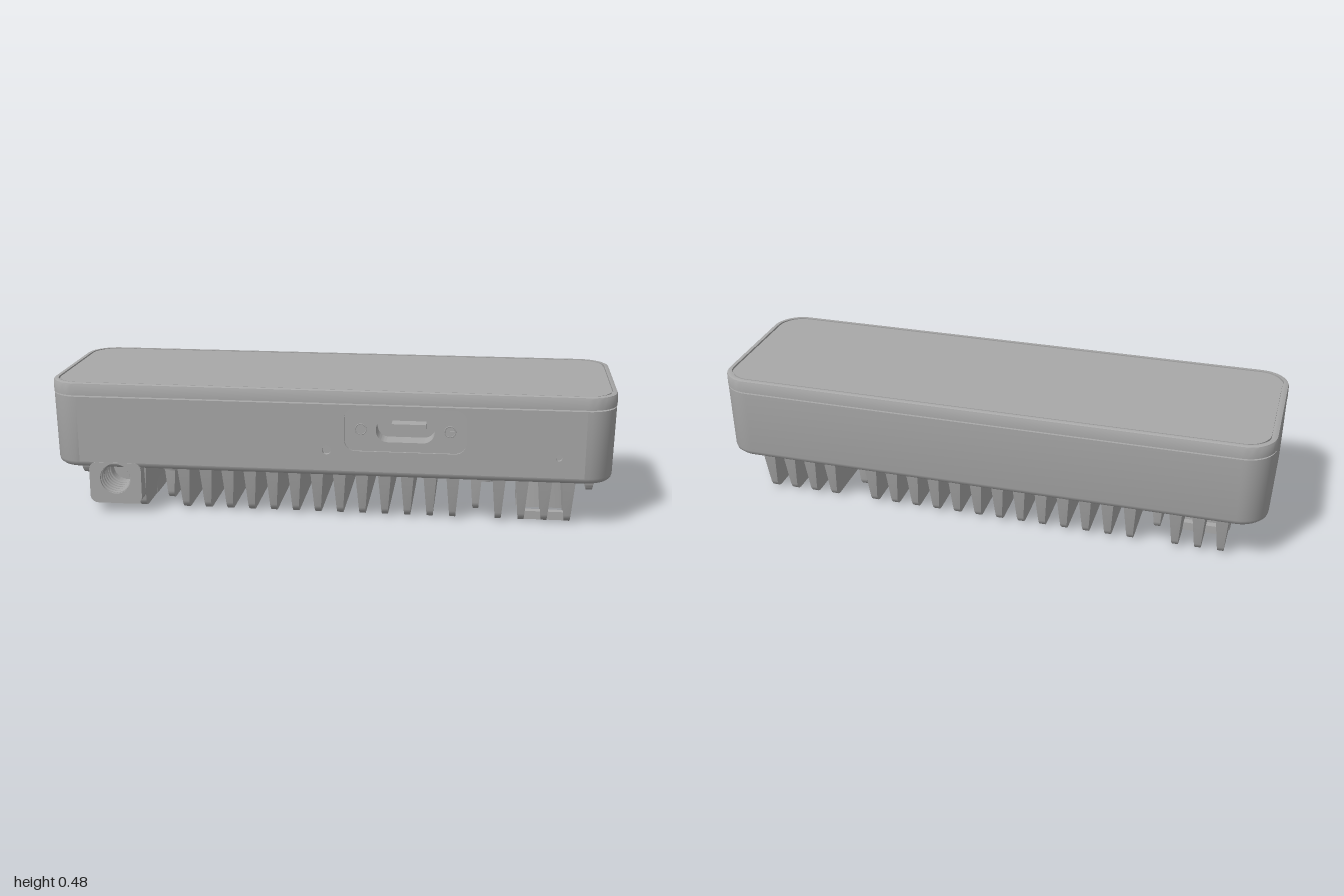
import * as THREE from 'three';
import { toCreasedNormals } from 'three/addons/utils/BufferGeometryUtils.js';

const metal = new THREE.MeshStandardMaterial({ color: 0xa8a8a8, side: THREE.DoubleSide });
metal.name = 'grey metal';

// Rounded rectangle outline, centred on (cx, cy)
function roundRect(cx, cy, w, h, r, Type = THREE.Shape) {
  const s = new Type(), x = w / 2 - r, y = h / 2 - r;
  s.absarc(cx + x, cy + y, r, 0, Math.PI / 2);
  s.absarc(cx - x, cy + y, r, Math.PI / 2, Math.PI);
  s.absarc(cx - x, cy - y, r, Math.PI, Math.PI * 1.5);
  s.absarc(cx + x, cy - y, r, Math.PI * 1.5, Math.PI * 2);
  s.closePath();
  return s;
}
const circle = (x, y, r) => roundRect(x, y, 2 * r, 2 * r, r, THREE.Path);

// Stack of rounded-rectangle loops [halfX, halfZ, radius, y]; one row may leave the front open
function stack(levels, openRow = -1) {
  const seg = 10, pos = [], idx = [], n = 4 * (seg + 1);
  for (const [hx, hz, r, y] of levels)
    for (let c = 0; c < 4; c++)
      for (let k = 0; k <= seg; k++) {
        const a = (c + k / seg) * Math.PI / 2;
        const sx = c === 0 || c === 3 ? 1 : -1, sz = c < 2 ? 1 : -1;
        pos.push(sx * (hx - r) + r * Math.cos(a), y, sz * (hz - r) + r * Math.sin(a));
      }
  for (let i = 0; i < levels.length - 1; i++)
    for (let j = 0; j < n; j++) {
      if (i === openRow && j === seg) continue;
      const a = i * n + j, b = i * n + (j + 1) % n;
      idx.push(a, a + n, b, b, a + n, b + n);
    }
  const g = new THREE.BufferGeometry();
  g.setAttribute('position', new THREE.Float32BufferAttribute(pos, 3));
  g.setIndex(idx);
  return toCreasedNormals(g, 0.6);
}

// Inside wall of a recess, following an outline from z0 to z1
function recessWall(path, z0, z1) {
  const pts = path.getPoints(10), pos = [], idx = [];
  pts.forEach((p, i) => {
    pos.push(p.x, p.y, z0, p.x, p.y, z1);
    if (i) idx.push(2 * i - 2, 2 * i - 1, 2 * i, 2 * i, 2 * i - 1, 2 * i + 1);
  });
  const g = new THREE.BufferGeometry();
  g.setAttribute('position', new THREE.Float32BufferAttribute(pos, 3));
  g.setIndex(idx);
  return toCreasedNormals(g, 0.6);
}

// Cooling fin: rounded trapezoid across z, thinner towards its lower edge
function finGeometry(zBack, zFront, bottom, slopeBack = 0.03, slopeFront = 0.03) {
  const top = 0.172, r = 0.04, b = zBack + slopeBack, f = zFront - slopeFront;
  const s = new THREE.Shape();
  s.moveTo(zBack, top);
  s.lineTo(b - slopeBack * 0.2, bottom + r);
  s.quadraticCurveTo(b, bottom, b + r, bottom);
  s.lineTo(f - r, bottom);
  s.quadraticCurveTo(f, bottom, f + slopeFront * 0.2, bottom + r);
  s.lineTo(zFront, top);
  s.closePath();
  const g = new THREE.ExtrudeGeometry(s, { depth: 1, bevelEnabled: false, curveSegments: 8 });
  g.translate(0, 0, -0.5).rotateY(-Math.PI / 2);
  const p = g.attributes.position;
  for (let i = 0; i < p.count; i++)
    p.setX(i, p.getX(i) * (0.02 + 0.027 * (p.getY(i) - bottom) / (top - bottom)));
  return toCreasedNormals(g, 0.6);
}

export function createModel() {
  const model = new THREE.Group();
  model.name = 'finnedEnclosure';
  const add = (name, geo, x = 0, y = 0, z = 0) => {
    const m = new THREE.Mesh(geo, metal);
    m.name = name;
    m.position.set(x, y, z);
    model.add(m);
    return m;
  };

  // Housing with a narrow neck below the lid
  add('housing', stack([
    [0.7, 0, 0, 0.165], [0.972, 0.275, 0.08, 0.165], [0.982, 0.285, 0.09, 0.168], [0.991, 0.294, 0.098, 0.176],
    [0.994, 0.297, 0.1, 0.187], [0.999, 0.303, 0.105, 0.428], [0.95, 0.258, 0.07, 0.428], [0.95, 0.258, 0.07, 0.436],
  ], 4));

  // Lid with raised rim, fine groove and flat window
  add('lid', stack([
    [0.94, 0.25, 0.07, 0.433], [1, 0.303, 0.105, 0.433], [1, 0.303, 0.105, 0.471], [0.998, 0.301, 0.104, 0.476],
    [0.994, 0.297, 0.1, 0.478], [0.983, 0.286, 0.09, 0.478], [0.983, 0.286, 0.09, 0.47], [0.977, 0.28, 0.085, 0.47],
    [0.977, 0.28, 0.085, 0.477], [0.7, 0, 0, 0.477],
  ]));

  // Front wall, leaning with the housing, pierced for the port and small holes
  const wall = new THREE.Shape();
  wall.moveTo(-0.894, 0.187); wall.lineTo(0.894, 0.187); wall.lineTo(0.894, 0.428); wall.lineTo(-0.894, 0.428);
  wall.closePath();
  const pocket = roundRect(0.275, 0.34, 0.425, 0.156, 0.04, THREE.Path);
  const holes = [[0, 0.262, 0.016], [0.805, 0.26, 0.011]];
  wall.holes.push(pocket, ...holes.map(h => circle(...h)));
  const wallGeo = new THREE.ShapeGeometry(wall, 10), wp = wallGeo.attributes.position;
  for (let i = 0; i < wp.count; i++) wp.setZ(i, 0.297 + 0.006 * (wp.getY(i) - 0.187) / 0.241);
  wallGeo.computeVertexNormals();
  add('frontWall', wallGeo);
  for (const [x, y, r] of holes) {
    add('pinholeWall', recessWall(circle(x, y, r), 0.285, 0.299));
    add('pinholeFloor', new THREE.CircleGeometry(r, 20), x, y, 0.286);
  }

  // Port pocket, slot, connector tongue and screws
  add('pocketWall', recessWall(pocket, 0.293, 0.301));
  const floor = roundRect(0.275, 0.34, 0.425, 0.156, 0.04);
  const slot = roundRect(0.275, 0.338, 0.205, 0.084, 0.041, THREE.Path);
  floor.holes.push(slot);
  add('pocketFloor', new THREE.ShapeGeometry(floor, 10), 0, 0, 0.294);
  add('slotWall', recessWall(slot, 0.22, 0.294));
  add('slotFloor', new THREE.ShapeGeometry(roundRect(0.275, 0.338, 0.205, 0.084, 0.041)), 0, 0, 0.222);
  add('connectorTongue', new THREE.BoxGeometry(0.12, 0.02, 0.05), 0.285, 0.345, 0.245);
  for (const x of [0.12, 0.43]) {
    add('screwRim', new THREE.TorusGeometry(0.019, 0.002, 6, 24), x, 0.34, 0.295);
    add('screwHead', new THREE.CircleGeometry(0.016, 20), x, 0.34, 0.296);
  }
  add('screwSlot', new THREE.BoxGeometry(0.03, 0.005, 0.003), 0.43, 0.34, 0.297);

  // Rows of cooling fins
  const fullFin = finGeometry(-0.26, 0.26, 0), cutFin = finGeometry(-0.14, 0.14, 0, 0.01, 0.01);
  const bossFin = finGeometry(-0.26, 0.12, 0, 0.03, 0.005), endFin = finGeometry(-0.137, 0.137, 0.085, 0.01, 0.01);
  const pitch = 0.0805;
  for (let i = -11; i <= 10; i++) {
    const geo = i === 6 || i === -8 ? cutFin : i === -10 ? bossFin : fullFin;
    add('coolingFin', geo, (i + 0.5) * pitch);
  }
  for (const s of [-1, 1]) add('endFin', endFin, s * 11.5 * pitch);

  // Mounting blocks with a hole underneath, and webs between their fins
  for (const s of [-1, 1]) {
    const x = s * 9.5 * pitch;
    const base = roundRect(0, 0, 0.19, 0.15, 0.01);
    base.holes.push(circle(0, 0, 0.026));
    const block = new THREE.ExtrudeGeometry(base, { depth: 0.165, bevelEnabled: false, curveSegments: 10 });
    add('mountBlock', toCreasedNormals(block.rotateX(-Math.PI / 2), 0.6), x, 0.003, 0);
    add('mountHoleFloor', new THREE.CircleGeometry(0.026, 20).rotateX(Math.PI / 2), x, 0.05, 0);
    for (const z of [0.2, -0.1]) add('finWeb', new THREE.BoxGeometry(0.17, 0.03, 0.025), x, 0.02, z);
  }

  // Low screw pads where the fins are cut back
  for (const x of [-0.575, 0.56])
    for (const z of [-0.2, 0.2])
      add('screwPad', new THREE.CylinderGeometry(0.045, 0.04, 0.02, 24), x, 0.157, z);

  // Threaded boss at the front
  const bx = -9.5 * pitch, by = 0.127, br = 0.056;
  const boss = roundRect(bx, 0.111, 0.19, 0.152, 0.028);
  boss.holes.push(circle(bx, by, br));
  const bossGeo = new THREE.ExtrudeGeometry(boss, { depth: 0.179, bevelEnabled: false, curveSegments: 12 });
  add('threadedBoss', toCreasedNormals(bossGeo, 0.6), 0, 0, 0.12);
  add('bossFloor', new THREE.CircleGeometry(br, 32), bx, by, 0.13);
  for (let i = 0; i < 6; i++) add('thread', new THREE.TorusGeometry(br, 0.006, 6, 32), bx, by, 0.285 - i * 0.022);
  return model;
}
